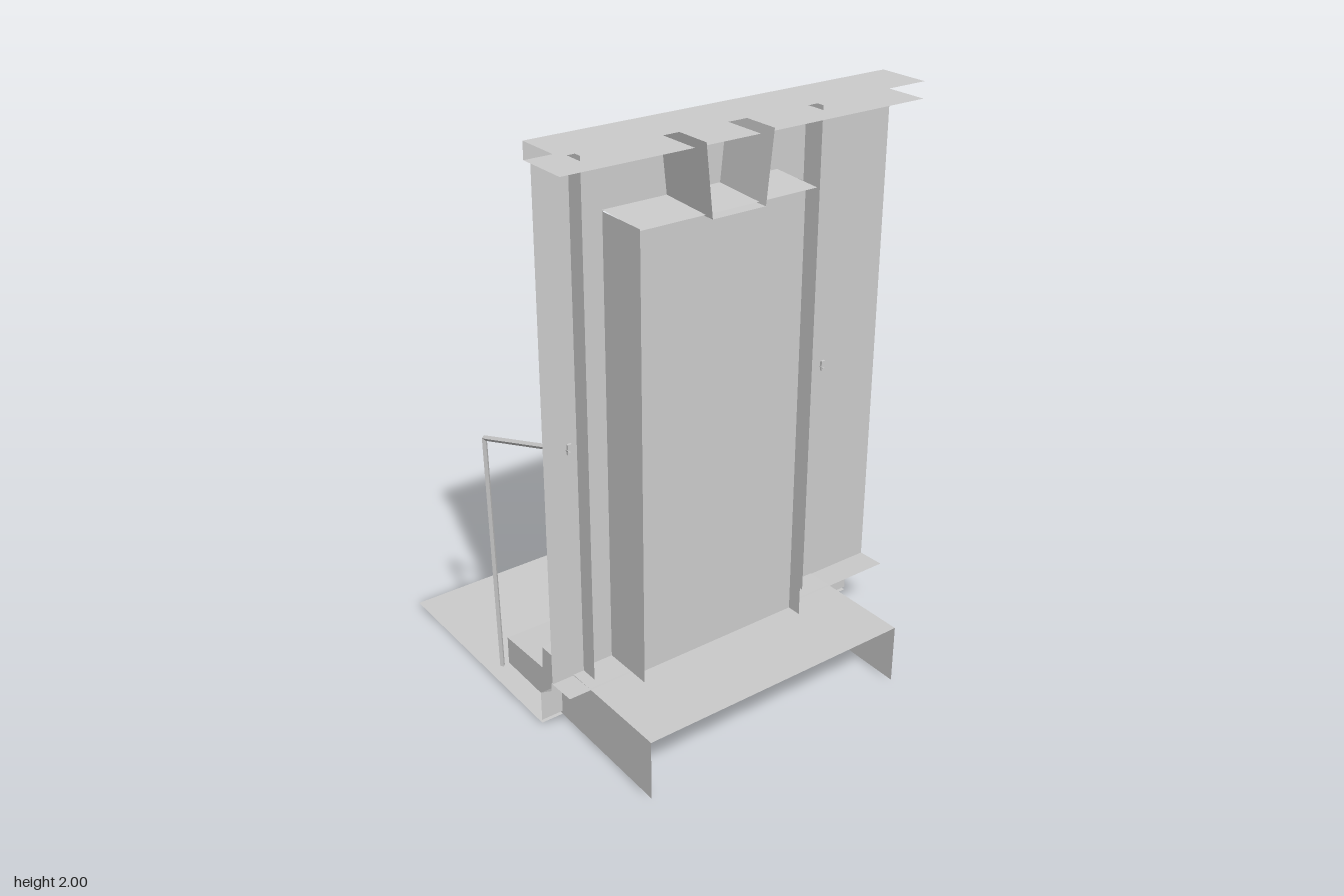
import * as THREE from 'three';

const mat = new THREE.MeshStandardMaterial({ color: 0xcccccc, flatShading: true, side: THREE.DoubleSide });

export function createModel() {
  const group = new THREE.Group();
  const add = (name, geometry) => {
    const mesh = new THREE.Mesh(geometry, mat);
    mesh.name = name;
    group.add(mesh);
    return mesh;
  };

  // Strip of quads joining two matching rows of points
  const strip = (name, rowA, rowB) => {
    const pos = [], idx = [];
    rowA.forEach((p, i) => {
      pos.push(...p, ...rowB[i]);
      if (i) idx.push(2 * i - 2, 2 * i - 1, 2 * i, 2 * i, 2 * i - 1, 2 * i + 1);
    });
    const g = new THREE.BufferGeometry();
    g.setAttribute('position', new THREE.Float32BufferAttribute(pos, 3));
    g.setIndex(idx);
    g.computeVertexNormals();
    return add(name, g);
  };

  // Open sheet: an x,y profile swept straight from z0 to z1
  const sheet = (name, profile, z0, z1) =>
    strip(name, profile.map(([x, y]) => [x, y, z0]), profile.map(([x, y]) => [x, y, z1]));

  const flat = points => new THREE.ShapeGeometry(new THREE.Shape(points.map(p => new THREE.Vector2(...p))));

  // Flat panel in the x,y plane at a given z
  const sidePanel = (name, points, z) => add(name, flat(points).translate(0, 0, z));

  // Flat panel facing -x, outlined in z,y
  const facePanel = (name, points, x) => add(name, flat(points).rotateY(-Math.PI / 2).translate(x, 0, 0));

  const rect = (x0, y0, x1, y1) => [[x0, y0], [x1, y0], [x1, y1], [x0, y1]];

  // Pavement, and the wall base with its ledge running back under the wall
  sheet('pavement', [[-0.69, 0.008], [0.18, 0.008]], -0.67, 0.67);
  sheet('plinth', [[0.36, 0.215], [0.25, 0.21], [0.25, 0.18], [0.18, 0.13], [0.18, 0.02]], -0.67, 0.67);

  // Steps: treads and risers, closed at both ends, open at the back
  const steps = [[-0.17, 0.01], [-0.17, 0.115], [0.06, 0.125], [0.065, 0.21], [0.69, 0.22]];
  sheet('steps', steps, -0.425, 0.59);
  for (const z of [-0.425, 0.59]) sidePanel('stepSide', [...steps, [0.69, 0.005]], z);

  // Wall on both sides of the doorway
  facePanel('wallRight', rect(-0.67, 0.2, -0.33, 1.945), 0.257);
  facePanel('wallLeft', rect(0.55, 0.2, 0.67, 1.945), 0.257);

  // Door surround standing slightly proud, with its outer returns
  facePanel('doorSurround',
    [[-0.33, 0.18], [-0.22, 0.18], [-0.22, 1.755], [0.43, 1.755], [0.43, 0.18], [0.55, 0.18], [0.55, 1.96], [-0.33, 1.96]], 0.242);
  for (const z of [-0.33, 0.55]) sidePanel('surroundReturn', rect(0.242, 0.18, 0.32, 1.96), z);

  // Deep reveal, with the door set inside it
  for (const z of [-0.22, 0.43]) sidePanel('doorReveal', rect(0.242, 0.2, 0.43, 1.755), z);
  sheet('doorHead', [[0.242, 1.76], [0.43, 1.75]], -0.22, 0.43);
  facePanel('door', rect(-0.22, 0.21, 0.43, 1.752), 0.378);

  // Keystone: tapered front with sides and underside running back
  const key = [[-0.02, 1.975], [0.005, 1.745], [0.2, 1.745], [0.225, 1.975]];
  facePanel('keystoneFront', key, 0.238);
  strip('keystoneSides', key.map(([z, y]) => [0.238, y, z]), key.map(([z, y]) => [0.462, y, z]));

  // Cornice: top, front and underside
  sheet('cornice', [[0.405, 2], [0.22, 2], [0.22, 1.945], [0.405, 1.945]], -0.67, 0.67);

  // Bevelled box on the wall
  const box = [[0.245, 1.55], [0.225, 1.555], [0.215, 1.59], [0.225, 1.615], [0.245, 1.61]];
  sheet('wallBox', [...box, box[0]], -0.61, -0.45);
  for (const z of [-0.61, -0.45]) sidePanel('wallBoxEnd', box, z);

  // Handrails: square post, sloping rail and small wall plate
  const rod = (name, a, b) => {
    const from = new THREE.Vector3(...a), to = new THREE.Vector3(...b);
    const dir = to.clone().sub(from);
    const mesh = add(name, new THREE.CylinderGeometry(0.009, 0.009, dir.length(), 4));
    mesh.position.copy(from).add(to).multiplyScalar(0.5);
    mesh.quaternion.setFromUnitVectors(new THREE.Vector3(0, 1, 0), dir.normalize());
  };
  for (const [foot, bend, end] of [[-0.43, -0.432, -0.43], [0.615, 0.65, 0.58]]) {
    rod('railPost', [-0.172, 0.002, foot], [-0.138, 0.93, bend]);
    rod('handrail', [-0.14, 0.93, bend], [0.265, 1.038, end]);
    const plate = add('railPlate', new THREE.BoxGeometry(0.008, 0.035, 0.015));
    plate.position.set(0.262, 1.04, end);
  }

  return group;
}
